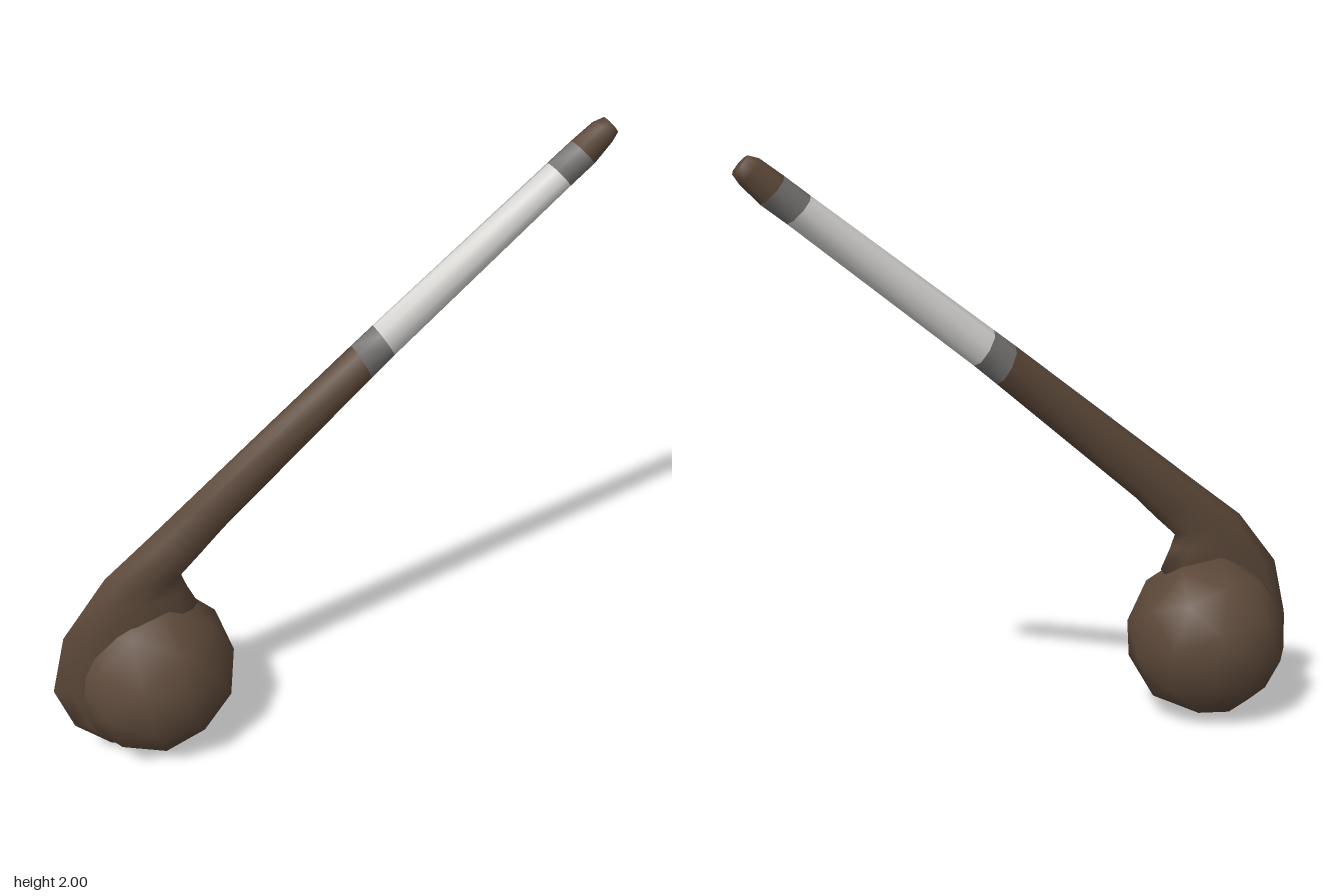
import * as THREE from 'three';

const brown = new THREE.MeshStandardMaterial({ color: 0x5c4839 });
brown.name = 'dark wood';
const grey = new THREE.MeshStandardMaterial({ color: 0x757370 });
grey.name = 'grey binding';
const white = new THREE.MeshStandardMaterial({ color: 0xd6d5d2 });
white.name = 'pale wrap';

// The club lies in one vertical plane, x = 0.095 - 0.355 z
const planeX = (z) => 0.095 - 0.355 * z;
const side = new THREE.Vector3(1, 0, 0.355).normalize();
const SIDES = 8;

// Loft through sections: [upper z, upper y, lower z, lower y, half width]
function loft(name, sections, material, capStart, capEnd) {
  const pos = [], index = [];
  const centres = sections.map(([z1, y1, z2, y2, w]) => {
    const a = new THREE.Vector3(planeX(z1), y1, z1);
    const b = new THREE.Vector3(planeX(z2), y2, z2);
    const c = a.clone().add(b).multiplyScalar(0.5);
    const u = a.sub(c);
    for (let j = 0; j < SIDES; j++) {
      const t = (j / SIDES) * Math.PI * 2;
      const p = c.clone().addScaledVector(u, Math.cos(t)).addScaledVector(side, w * Math.sin(t));
      pos.push(p.x, p.y, p.z);
    }
    return c;
  });
  const n = sections.length;
  for (let i = 0; i < n - 1; i++) {
    for (let j = 0; j < SIDES; j++) {
      const k = (j + 1) % SIDES;
      const a = i * SIDES + j, b = i * SIDES + k, c = a + SIDES, d = b + SIDES;
      index.push(a, c, b, b, c, d);
    }
  }
  // end caps
  const cap = (c, row, flip) => {
    const m = pos.length / 3;
    pos.push(c.x, c.y, c.z);
    for (let j = 0; j < SIDES; j++) {
      const a = row * SIDES + j, b = row * SIDES + ((j + 1) % SIDES);
      if (flip) index.push(m, b, a);
      else index.push(m, a, b);
    }
  };
  if (capStart) cap(centres[0], 0, false);
  if (capEnd) cap(centres[n - 1], n - 1, true);
  const g = new THREE.BufferGeometry();
  g.setAttribute('position', new THREE.Float32BufferAttribute(pos, 3));
  g.setIndex(index);
  g.computeVertexNormals();
  const mesh = new THREE.Mesh(g, material);
  mesh.name = name;
  return mesh;
}

export function createModel() {
  const club = new THREE.Group();
  club.name = 'ballHeadedClub';

  // shared rings where the colours change
  const bandTop = [-0.765, 1.935, -0.838, 1.852, 0.046];
  const gripTop = [-0.69, 1.873, -0.762, 1.79, 0.047];
  const gripBottom = [-0.13, 1.417, -0.196, 1.305, 0.05];
  const bandBottom = [-0.06, 1.36, -0.122, 1.238, 0.05];

  // handle
  club.add(loft('handleTip', [
    [-0.868, 2.0, -0.914, 1.945, 0.028],
    [-0.835, 1.99, -0.895, 1.915, 0.038],
    bandTop,
  ], brown, true, false));
  club.add(loft('upperBand', [bandTop, gripTop], grey, false, false));
  club.add(loft('gripWrap', [gripTop, gripBottom], white, false, false));
  club.add(loft('lowerBand', [gripBottom, bandBottom], grey, false, false));

  // shaft bending down into the tongue that clasps the ball
  club.add(loft('shaft', [
    bandBottom,
    [0.45, 0.935, 0.355, 0.80, 0.052],
    [0.60, 0.81, 0.43, 0.72, 0.054],
    [0.74, 0.695, 0.50, 0.65, 0.056],
    [0.81, 0.60, 0.482, 0.60, 0.057],
    [0.88, 0.505, 0.45, 0.53, 0.059],
    [0.923, 0.308, 0.58, 0.34, 0.06],
    [0.865, 0.15, 0.62, 0.24, 0.058],
    [0.755, 0.045, 0.64, 0.14, 0.045],
  ], brown, false, true));

  // ball head
  const ball = new THREE.Mesh(new THREE.IcosahedronGeometry(0.285, 1), brown);
  ball.name = 'ballHead';
  ball.position.set(-0.16, 0.283, 0.585);
  ball.rotation.set(0.1, 0.35, 0.15);
  club.add(ball);

  return club;
}
